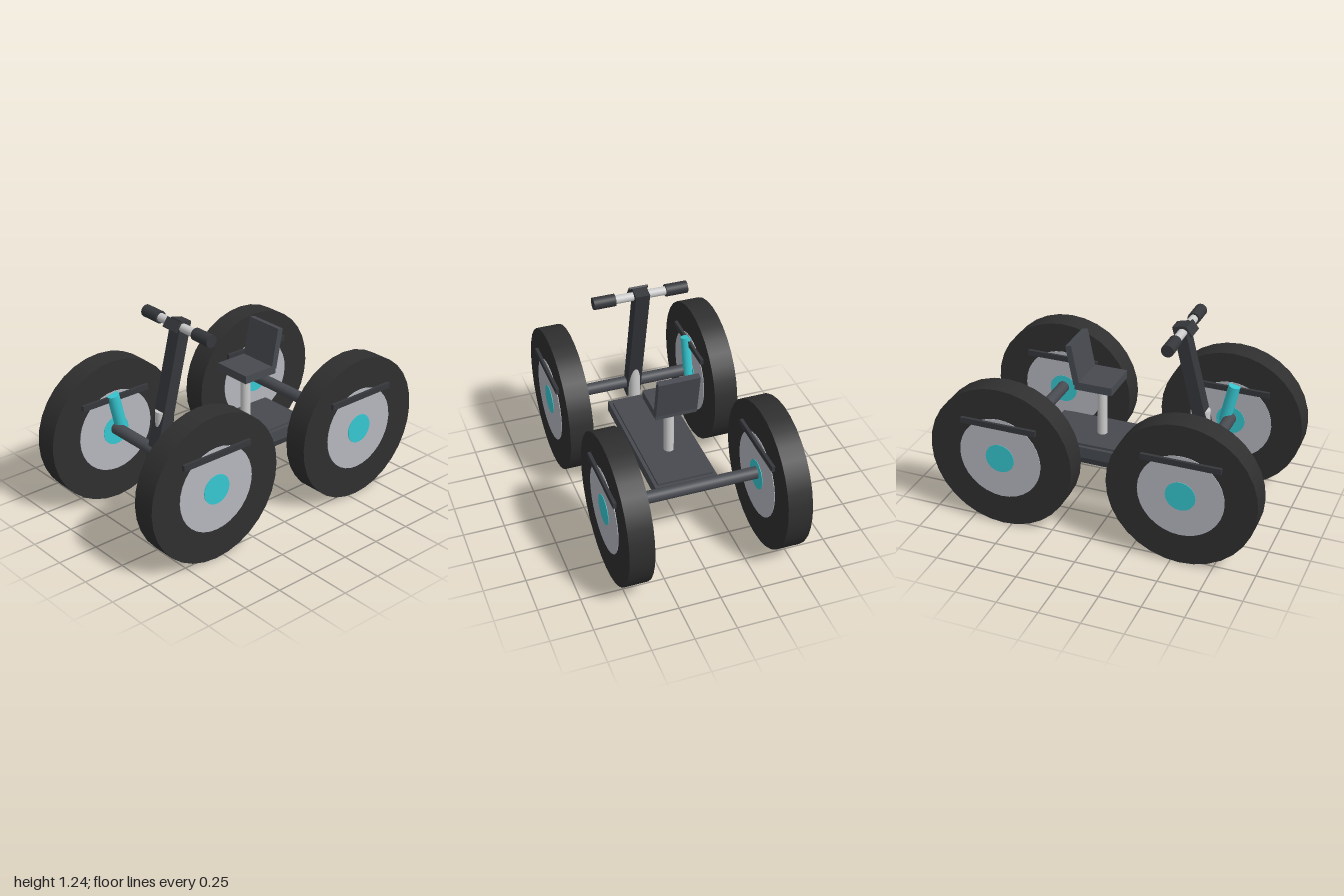
import * as THREE from 'three';

const mat = (color) => new THREE.MeshStandardMaterial({ color });

export function createModel() {
  const root = new THREE.Group();
  const rubber = mat(0x2f2f30), frame = mat(0x474a50), dark = mat(0x35373b);
  const silver = mat(0xcccccc), rim = mat(0xb4b7be), cyan = mat(0x36c6d0);

  const add = (parent, name, geometry, material, pos, tilt = 0) => {
    const mesh = new THREE.Mesh(geometry, material);
    mesh.name = name;
    mesh.position.set(...pos);
    mesh.rotation.x = tilt;
    parent.add(mesh);
    return mesh;
  };
  const box = (name, size, material, pos, tilt, parent = root) =>
    add(parent, name, new THREE.BoxGeometry(...size), material, pos, tilt);
  const post = (name, r, h, material, pos, tilt) =>
    add(root, name, new THREE.CylinderGeometry(r, r, h, 24), material, pos, tilt);
  // Cylinder lying along x
  const rod = (name, r, length, material, pos, parent = root, sides = 24) =>
    add(parent, name, new THREE.CylinderGeometry(r, r, length, sides).rotateZ(Math.PI / 2), material, pos);

  // Wheels: tyre, rim and hub on both faces, with a bar through each wheel
  for (const z of [0.553, -0.553]) {
    for (const side of [1, -1]) {
      const wheel = new THREE.Group();
      wheel.name = (z > 0 ? 'front' : 'rear') + (side > 0 ? 'Left' : 'Right') + 'Wheel';
      wheel.position.set(side * 0.462, 0.449, z);
      rod('tyre', 0.447, 0.146, rubber, [0, 0, 0], wheel, 32);
      rod('rim', 0.257, 0.153, rim, [0, 0, 0], wheel, 32);
      rod('hub', 0.09, 0.159, cyan, [0, 0, 0], wheel);
      box('wheelBar', [0.186, 0.035, 0.47], dark, [0, 0.217, 0], 0, wheel);
      root.add(wheel);
    }
    rod(z > 0 ? 'frontAxle' : 'rearAxle', 0.037, 0.8, frame, [0, 0.463, z]);
  }

  // Front shock absorbers, leaning forward
  for (const side of [1, -1])
    post('shockAbsorber', 0.037, 0.25, cyan, [side * 0.372, 0.572, 0.548], 0.22);

  // Deck, foot mat, battery box and front light strip
  box('deck', [0.38, 0.07, 0.925], frame, [0, 0.375, -0.003]);
  box('footMat', [0.34, 0.015, 0.84], frame, [0, 0.417, 0]);
  box('batteryBox', [0.31, 0.058, 0.58], dark, [0, 0.312, -0.07]);
  box('lightStrip', [0.318, 0.03, 0.03], cyan, [0, 0.325, 0.225]);

  // Steering column, pivot, handlebar and display
  box('steeringColumn', [0.087, 0.88, 0.075], dark, [0, 0.805, 0.458], -0.245);
  post('steeringPivot', 0.037, 0.37, silver, [0, 0.525, 0.507]);
  rod('handlebar', 0.026, 0.56, silver, [0, 1.197, 0.375]);
  for (const side of [1, -1])
    rod('grip', 0.037, 0.134, dark, [side * 0.223, 1.197, 0.375]);
  box('display', [0.116, 0.065, 0.012], dark, [0, 1.214, 0.417], -0.62);

  // Seat
  post('seatPost', 0.03, 0.35, silver, [0, 0.59, -0.13]);
  box('seat', [0.25, 0.05, 0.235], frame, [0, 0.78, -0.138]);
  box('backrest', [0.25, 0.25, 0.038], frame, [0, 0.909, -0.266], -0.19);

  return root;
}
